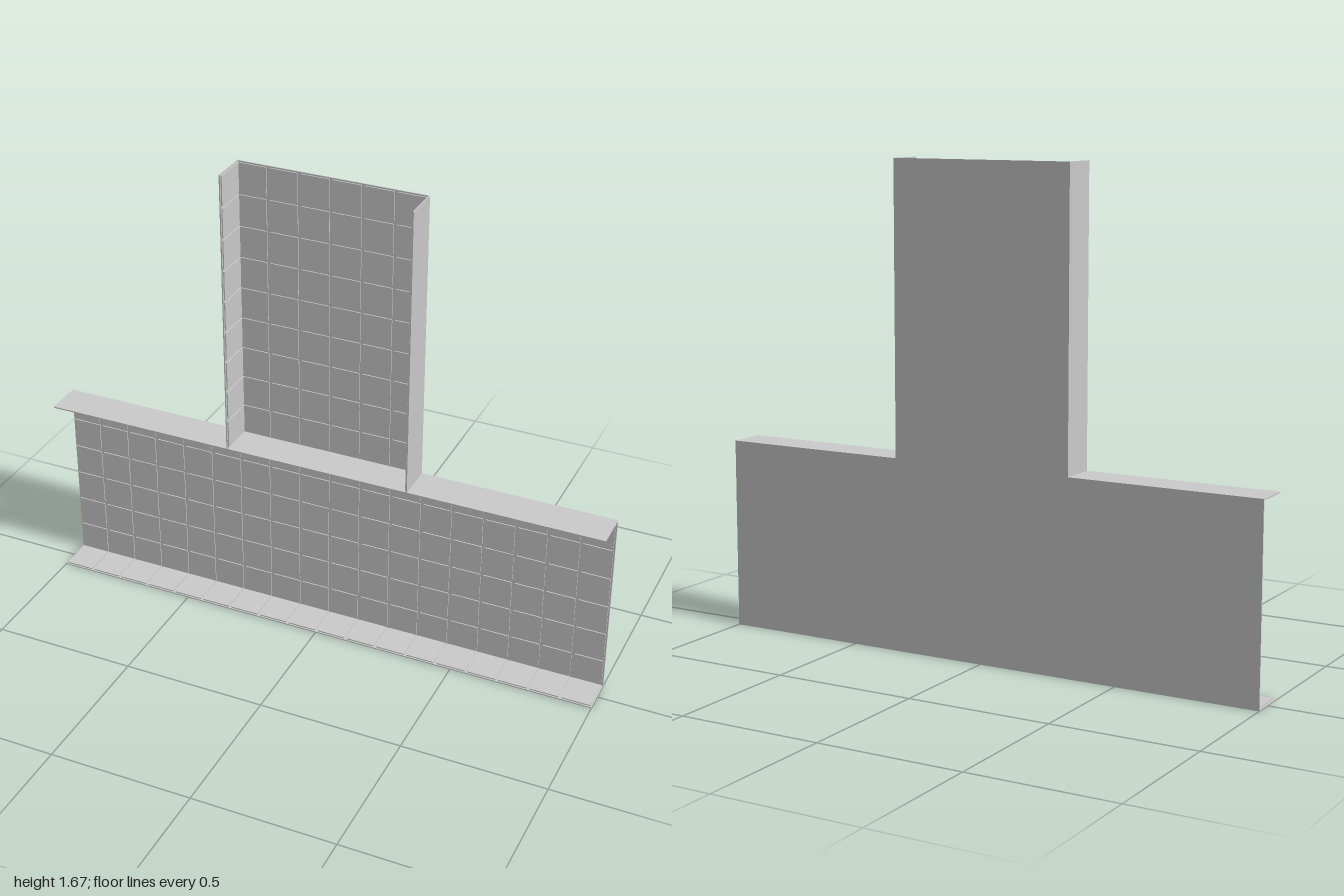
import * as THREE from 'three';
import { mergeGeometries } from 'three/addons/utils/BufferGeometryUtils.js';

const CELL = 2 / 18;      // tile pitch
const DEPTH = 0.13;       // flange depth
const BACKING = 0.004;    // sheet thickness
const RAISE = 0.004;      // tile height above the sheet
const GAP = 0.01;         // joint between tiles

export function createModel() {
  const group = new THREE.Group();
  const material = new THREE.MeshStandardMaterial({ color: 0xcccccc, flatShading: true });

  // Thin sheet whose outer face lies at local z = 0, with raised tiles facing +z
  function panel(name, width, height, cols, rows, position, rotation = [0, 0, 0]) {
    const parts = [new THREE.BoxGeometry(width, height, BACKING).translate(0, 0, BACKING / 2)];
    const w = width / cols, h = height / rows;
    for (let i = 0; i < cols; i++) {
      for (let j = 0; j < rows; j++) {
        parts.push(new THREE.BoxGeometry(w - GAP, h - GAP, RAISE).translate(
          (i + 0.5) * w - width / 2, (j + 0.5) * h - height / 2, BACKING + RAISE / 2));
      }
    }
    const mesh = new THREE.Mesh(mergeGeometries(parts), material);
    mesh.name = name;
    mesh.position.set(...position);
    mesh.rotation.set(...rotation);
    group.add(mesh);
  }

  const baseHeight = 6 * CELL, towerHeight = 9 * CELL, towerWidth = 0.655;
  const back = -DEPTH / 2, towerY = baseHeight + towerHeight / 2;

  // Upright webs forming the inverted T
  panel('baseWeb', 2, baseHeight, 18, 6, [0, baseHeight / 2, back]);
  panel('towerWeb', towerWidth, towerHeight, 6, 9, [0, towerY, back]);

  // Horizontal flanges, tiled toward the inside of the trough
  panel('bottomFlange', 2, DEPTH, 18, 1, [0, 0, 0], [-Math.PI / 2, 0, 0]);
  panel('topFlange', 2, DEPTH, 18, 1, [0, baseHeight, 0], [Math.PI / 2, 0, 0]);

  // Side walls of the tower, tiled on their inner faces
  for (const side of [-1, 1]) {
    panel(side > 0 ? 'leftWall' : 'rightWall', DEPTH, towerHeight, 1, 9,
      [side * towerWidth / 2, towerY, 0], [0, -side * Math.PI / 2, 0]);
  }
  return group;
}
